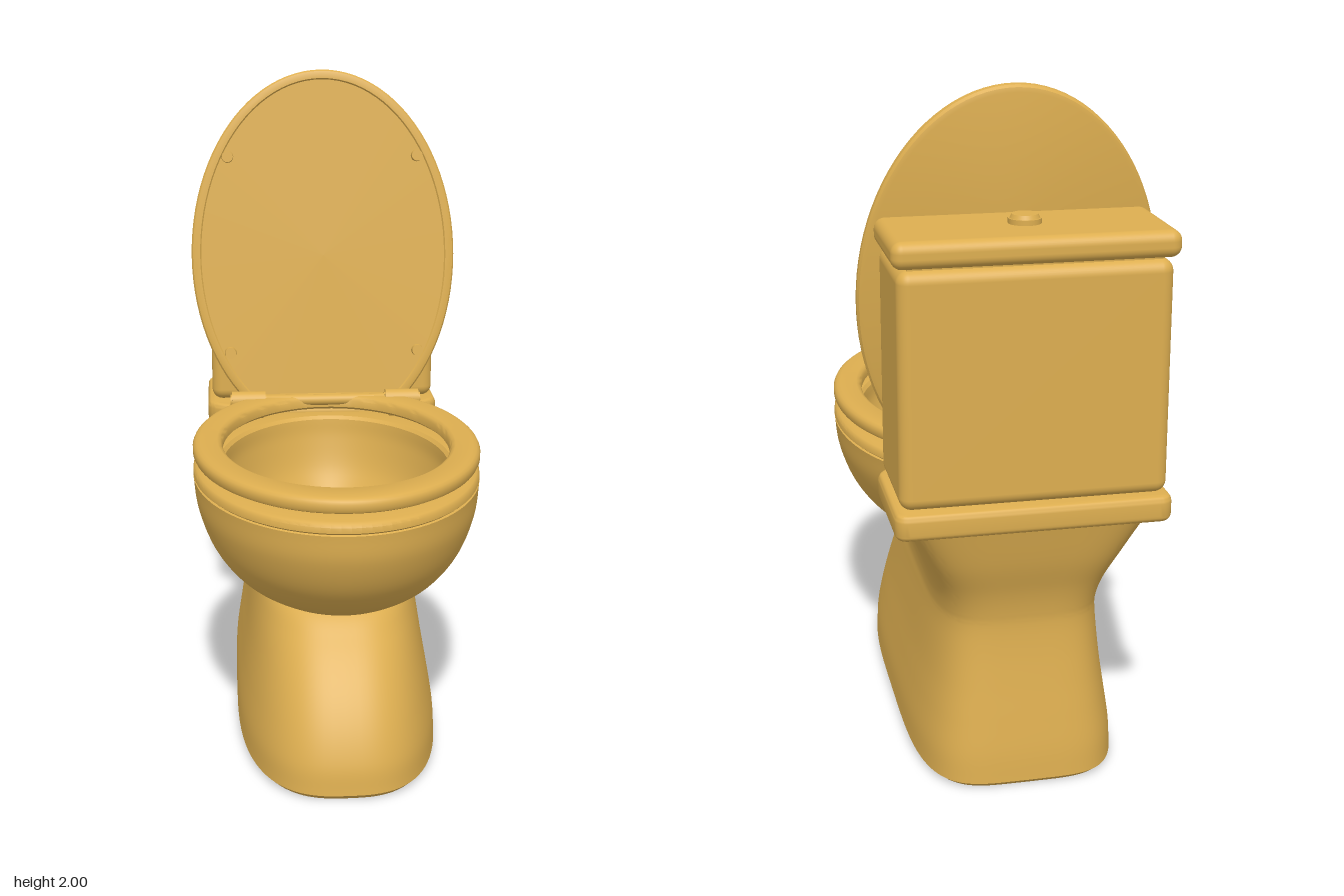
import * as THREE from 'three';
import { toCreasedNormals } from 'three/addons/utils/BufferGeometryUtils.js';
import { RoundedBoxGeometry } from 'three/addons/geometries/RoundedBoxGeometry.js';

const material = new THREE.MeshStandardMaterial({ color: 0xddae50, side: THREE.DoubleSide });

function add(parent, name, geometry, x = 0, y = 0, z = 0) {
  const mesh = new THREE.Mesh(geometry, material);
  mesh.name = name;
  mesh.position.set(x, y, z);
  parent.add(mesh);
  return mesh;
}

// Rows are [y, frontZ, backZ, halfWidth, frontPower, backPower]; power 1 is an ellipse, lower is boxier.
function loft(rows, adjust = (p) => p, closed = false, n = 96) {
  const pos = [], index = [];
  const bend = (v, e) => Math.sign(v) * Math.abs(v) ** e;
  for (const [y, zf, zb, hw, ef = 1, eb = 1] of rows) {
    for (let j = 0; j < n; j++) {
      const a = (j / n) * Math.PI * 2, c = Math.cos(a);
      const e = c > 0 ? ef : eb;
      const p = new THREE.Vector3(hw * bend(Math.sin(a), e), y, (zf + zb) / 2 + ((zf - zb) / 2) * bend(c, e));
      pos.push(...adjust(p).toArray());
    }
  }
  const last = closed ? rows.length : rows.length - 1;
  for (let i = 0; i < last; i++) {
    const r = i * n, s = ((i + 1) % rows.length) * n;
    for (let j = 0; j < n; j++) {
      const k = (j + 1) % n;
      index.push(r + j, r + k, s + j, r + k, s + k, s + j);
    }
  }
  const g = new THREE.BufferGeometry();
  g.setAttribute('position', new THREE.Float32BufferAttribute(pos, 3));
  g.setIndex(index);
  return toCreasedNormals(g, 0.6);
}

// Fill in smooth rows between a few given ones.
function smooth(rows, count) {
  const spline = (f) => new THREE.CatmullRomCurve3(rows.map(f), false, 'catmullrom', 0.5);
  const a = spline((r) => new THREE.Vector3(r[0], r[1], r[2]));
  const b = spline((r) => new THREE.Vector3(r[3], r[4] ?? 1, r[5] ?? 1));
  return Array.from({ length: count + 1 }, (_, i) => [
    ...a.getPoint(i / count).toArray(), ...b.getPoint(i / count).toArray()]);
}

export function createModel() {
  const model = new THREE.Group();
  model.name = 'toilet';

  // Foot that sweeps back and flares out under the tank
  const foot = smooth([
    [0.015, 0.71, -0.73, 0.31, 0.72, 0.45],
    [0.1, 0.697, -0.724, 0.306, 0.72, 0.45],
    [0.2, 0.655, -0.711, 0.291, 0.72, 0.45],
    [0.3, 0.59, -0.697, 0.275, 0.72, 0.45],
    [0.4, 0.5, -0.685, 0.262, 0.72, 0.45],
    [0.48, 0.4, -0.68, 0.253, 0.7, 0.45],
    [0.53, 0.22, -0.684, 0.25, 0.6, 0.45],
    [0.6, 0.05, -0.7, 0.26, 0.5, 0.42],
    [0.7, -0.1, -0.735, 0.295, 0.45, 0.36],
    [0.83, -0.3, -0.77, 0.35, 0.4, 0.3],
  ], 60);
  // Keep the foot out of the basin: push it back behind the basin wall
  const behindBasin = (p) => {
    const hw = 0.28 + 0.55 * (p.y - 0.6), back = -0.25 - 0.5 * (p.y - 0.6);
    if (p.y > 0.55 && Math.abs(p.x) < hw)
      p.z = Math.min(p.z, 0.17 - (0.17 - back) * Math.sqrt(1 - (p.x / hw) ** 2));
    return p;
  };
  add(model, 'pedestal', loft([
    [0, 0, 0, 0], [0, 0.695, -0.715, 0.295, 0.72, 0.45], ...foot], behindBasin));

  // Bowl: outside going up, rim, inside going down to a flat floor
  const outside = smooth([
    [0.48, 0.4, 0.05, 0.1], [0.495, 0.5, -0.05, 0.19], [0.52, 0.575, -0.15, 0.255],
    [0.57, 0.66, -0.24, 0.325], [0.65, 0.735, -0.33, 0.385], [0.75, 0.78, -0.4, 0.423],
    [0.838, 0.79, -0.43, 0.435]], 36);
  const inside = smooth([
    [0.865, 0.67, -0.29, 0.345], [0.8, 0.65, -0.28, 0.335], [0.7, 0.57, -0.25, 0.29],
    [0.62, 0.42, -0.2, 0.2], [0.58, 0.26, -0.16, 0.13], [0.57, 0.2, -0.15, 0.12]], 30);
  add(model, 'bowl', loft([
    [0.478, 0.22, 0.22, 0], ...outside,
    [0.841, 0.784, -0.424, 0.429], [0.846, 0.79, -0.43, 0.435], [0.862, 0.789, -0.429, 0.434],
    [0.871, 0.782, -0.422, 0.427], [0.875, 0.77, -0.41, 0.415], [0.875, 0.68, -0.3, 0.355],
    ...inside, [0.57, 0.02, 0.02, 0]]));

  // Lip of the drain at the front of the basin floor
  const drain = add(model, 'drainLip', new THREE.TorusGeometry(0.05, 0.012, 10, 24, Math.PI), 0, 0.585, 0.2);
  drain.rotation.x = Math.PI / 2 - 0.3;

  // Seat ring
  const ring = (y, out) => [y, 0.79 - out, -0.42 + out, 0.435 - out];
  const hole = (y, grow) => [y, 0.67 + grow, -0.29 - grow, 0.345 + grow];
  add(model, 'seat', loft([
    hole(0.9, 0.01), ring(0.9, 0.012), ring(0.904, 0.004), ring(0.912, 0), ring(0.928, 0),
    ring(0.936, 0.004), ring(0.942, 0.011), ring(0.945, 0.022),
    hole(0.945, 0.016), hole(0.94, 0.006), hole(0.93, 0), hole(0.908, 0)], undefined, true));

  // Raised lid with a slightly sunken panel, cut straight at the hinge
  const lid = new THREE.Group();
  lid.name = 'lid';
  lid.position.set(0, 1.4, -0.405);
  lid.rotation.x = Math.PI / 2 - 0.13;
  model.add(lid);
  const disc = (y, inset) => [y, 0.605 - inset, -0.605 + inset, 0.435 - inset];
  const cut = (p) => p.setZ(Math.min(p.z, 0.51));
  add(lid, 'lidPanel', loft([
    [-0.02, 0, 0, 0], disc(-0.02, 0.018), disc(-0.016, 0.006), disc(-0.008, 0), disc(0.01, 0),
    disc(0.017, 0.005), disc(0.02, 0.014), disc(0.02, 0.028), disc(0.015, 0.032), [0.015, 0, 0, 0]], cut));
  for (const x of [-0.312, 0.312])
    for (const z of [-0.325, 0.32])
      add(lid, 'lidBumper', new THREE.CylinderGeometry(0.018, 0.02, 0.025, 20), x, 0.023, z);

  // Hinge: two barrels on feet joined by a thin rod
  const barrel = (r, len) => new THREE.CylinderGeometry(r, r, len, 24).rotateZ(Math.PI / 2);
  add(model, 'hingeRod', barrel(0.018, 0.42), 0, 0.932, -0.295);
  for (const s of [-1, 1]) {
    add(model, 'hingeBarrel', barrel(0.03, 0.11), s * 0.255, 0.934, -0.293);
    add(model, 'hingePin', barrel(0.02, 0.12), s * 0.256, 0.934, -0.293);
    add(model, 'hingeFoot', new RoundedBoxGeometry(0.1, 0.022, 0.11, 3, 0.008), s * 0.255, 0.896, -0.295);
  }

  // Shelf under the tank, narrowing toward the bowl
  const shelf = new THREE.Shape();
  const r = 0.02;
  shelf.moveTo(-0.35, 0.775);
  shelf.lineTo(0.35, 0.775);
  shelf.quadraticCurveTo(0.375, 0.775, 0.375, 0.75);
  shelf.lineTo(0.375, 0.46);
  shelf.quadraticCurveTo(0.375, 0.43, 0.35, 0.415);
  shelf.lineTo(0.27, 0.36);
  shelf.lineTo(-0.27, 0.36);
  shelf.lineTo(-0.35, 0.415);
  shelf.quadraticCurveTo(-0.375, 0.43, -0.375, 0.46);
  shelf.lineTo(-0.375, 0.75);
  shelf.quadraticCurveTo(-0.375, 0.775, -0.35, 0.775);
  const shelfGeometry = new THREE.ExtrudeGeometry(shelf, {
    depth: 0.035, bevelThickness: r, bevelSize: 0.015, bevelSegments: 5, curveSegments: 8 });
  shelfGeometry.rotateX(-Math.PI / 2);
  add(model, 'tankShelf', toCreasedNormals(shelfGeometry, 0.6), 0, 0.84, 0);

  // Tank, cover and flush button
  add(model, 'tank', new RoundedBoxGeometry(0.75, 0.665, 0.345, 5, 0.035), 0, 1.232, -0.603);
  add(model, 'tankNeck', new THREE.BoxGeometry(0.69, 0.05, 0.29), 0, 1.565, -0.605);
  add(model, 'tankCover', new RoundedBoxGeometry(0.78, 0.075, 0.35, 5, 0.03), 0, 1.608, -0.615);
  add(model, 'flushBase', new THREE.CylinderGeometry(0.046, 0.046, 0.016, 32), 0, 1.652, -0.605);
  add(model, 'flushButton', new THREE.CylinderGeometry(0.036, 0.042, 0.012, 32), 0, 1.665, -0.605);

  return model;
}
